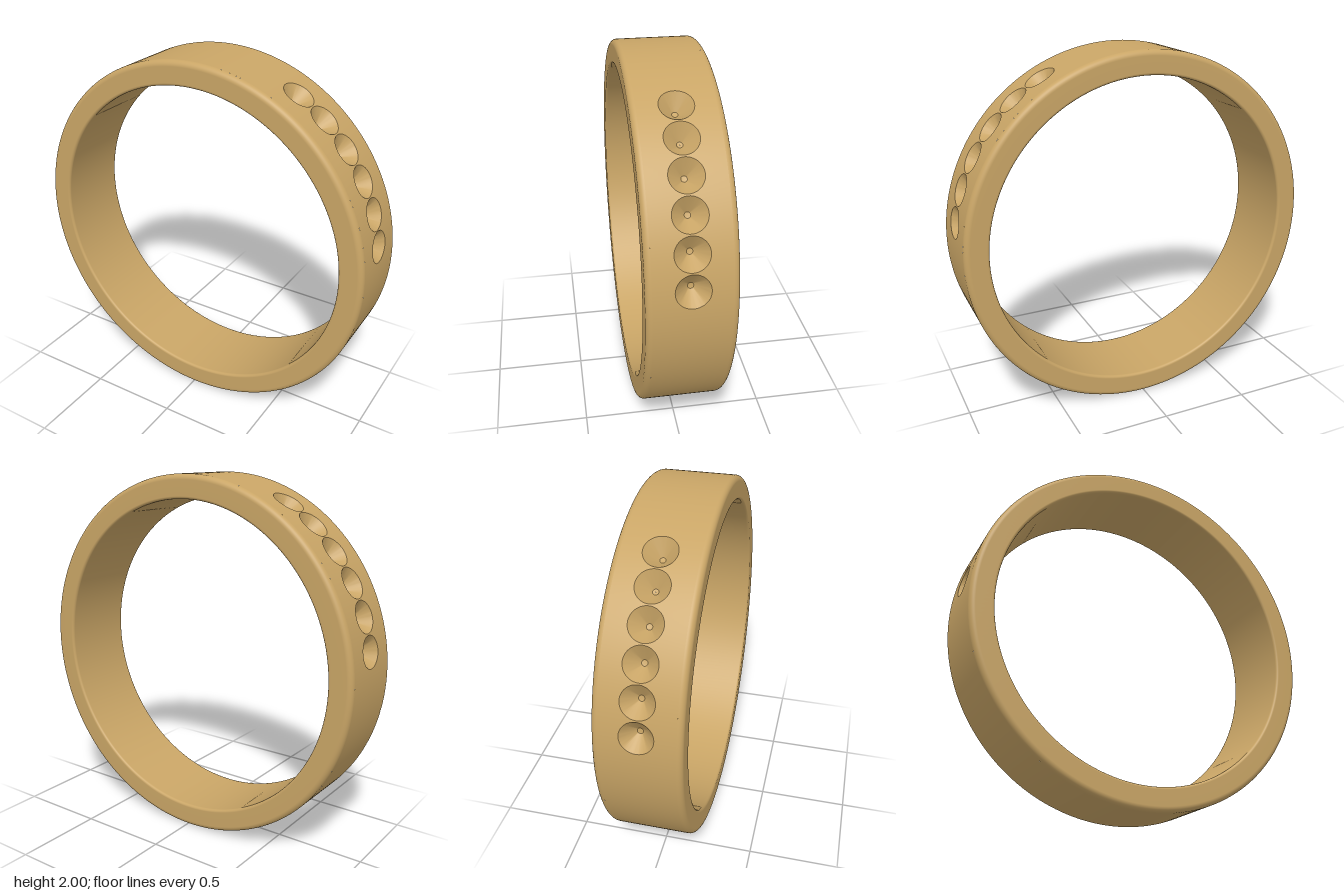
import * as THREE from 'three';
import { toCreasedNormals } from 'three/addons/utils/BufferGeometryUtils.js';

const OUTER = 1, INNER = 0.87, HALF = 0.22, ROUND = 0.03, ROUND_IN = 0.015;
const FLAT = HALF - ROUND;                     // half width of the flat outer band
const PITS = 6, FIRST = 9, STEP = 10.2;        // degrees
const PIT_R = 0.085, PIT_DEPTH = 0.075, K = 64;
const rad = THREE.MathUtils.degToRad;

// Closed loops of K points, joined from the outermost loop inward
function loft(rings, pointAt) {
  const pos = [], idx = [];
  for (let j = 0; j < rings; j++) {
    for (let i = 0; i < K; i++) {
      pos.push(...pointAt(j, (i / K) * Math.PI * 2));
      if (j === rings - 1) continue;
      const n = (i + 1) % K;
      const a = j * K + i, b = j * K + n, c = b + K, d = a + K;
      idx.push(a, b, c, a, c, d);
    }
  }
  const g = new THREE.BufferGeometry();
  g.setAttribute('position', new THREE.Float32BufferAttribute(pos, 3));
  g.setIndex(idx);
  return g;
}

// Piece of the outer band around one pit: rectangle outside, circle inside
function surroundGeometry() {
  const rings = 6;
  const g = loft(rings, (j, t) => {
    const c = Math.cos(t), s = Math.sin(t), m = Math.max(Math.abs(c), Math.abs(s));
    const f = j / (rings - 1);
    const angle = THREE.MathUtils.lerp((c / m) * rad(STEP / 2), Math.asin(PIT_R * c), f);
    const z = THREE.MathUtils.lerp((s / m) * FLAT, PIT_R * s, f);
    return [OUTER * Math.cos(angle), OUTER * Math.sin(angle), z];
  });
  // radial normals blend with the rest of the band
  const p = g.attributes.position, n = [];
  for (let i = 0; i < p.count; i++) n.push(p.getX(i), p.getY(i), 0);
  g.setAttribute('normal', new THREE.Float32BufferAttribute(n, 3));
  return g;
}

// Conical recess whose rim follows the curved band
function pitGeometry() {
  const radii = [PIT_R, 0.015, 0.0005];
  const depths = [0, PIT_DEPTH, PIT_DEPTH + 0.002];
  const g = loft(3, (j, t) => {
    const y = radii[j] * Math.cos(t), z = radii[j] * Math.sin(t);
    const x = j === 0 ? Math.sqrt(OUTER * OUTER - y * y) : OUTER - depths[j];
    return [x, y, z];
  });
  return toCreasedNormals(g, rad(30));
}

// Quarter-round corner of the band's cross-section
function corner(r, y, radius, start) {
  return Array.from({ length: 9 }, (_, i) => {
    const a = rad(start + (i / 8) * 90);
    return new THREE.Vector2(r + radius * Math.cos(a), y + radius * Math.sin(a));
  });
}

// Revolve a profile around z; angles are measured from +x towards +y
function revolve(points, from, to) {
  const g = new THREE.LatheGeometry(points, Math.ceil((to - from) / 1.5), rad(from + 90), rad(to - from));
  return g.rotateX(Math.PI / 2);
}

export function createModel() {
  const root = new THREE.Group();
  root.name = 'ring';
  const metal = new THREE.MeshStandardMaterial({ color: 0xc9a566 });
  const band = new THREE.Group();
  band.name = 'band';
  band.position.y = OUTER;
  root.add(band);

  const add = (geometry, name, angle = 0) => {
    const mesh = new THREE.Mesh(geometry, metal);
    mesh.name = name;
    mesh.rotation.z = rad(angle);
    band.add(mesh);
  };

  // Rounded edges, side faces and bore
  const profile = [
    ...corner(OUTER - ROUND, FLAT, ROUND, 0),
    ...corner(INNER + ROUND_IN, HALF - ROUND_IN, ROUND_IN, 90),
    ...corner(INNER + ROUND_IN, -HALF + ROUND_IN, ROUND_IN, 180),
    ...corner(OUTER - ROUND, -FLAT, ROUND, 270),
  ];
  add(revolve(profile, 0, 360), 'edgesAndBore');

  // Plain stretches of the outer surface, above and below the pit rows
  const wall = [new THREE.Vector2(OUTER, -FLAT), new THREE.Vector2(OUTER, FLAT)];
  const low = FIRST - STEP / 2, high = low + PITS * STEP;
  add(revolve(wall, high, 180 - high), 'topSurface');
  add(revolve(wall, 180 - low, 360 + low), 'bottomSurface');

  // A row of pits on each shoulder
  const surround = surroundGeometry(), pit = pitGeometry();
  for (let i = 0; i < PITS; i++) {
    const angle = FIRST + i * STEP;
    for (const [side, a] of [['left', angle], ['right', 180 - angle]]) {
      add(surround, `${side}PitSurround${i + 1}`, a);
      add(pit, `${side}Pit${i + 1}`, a);
    }
  }
  return root;
}
